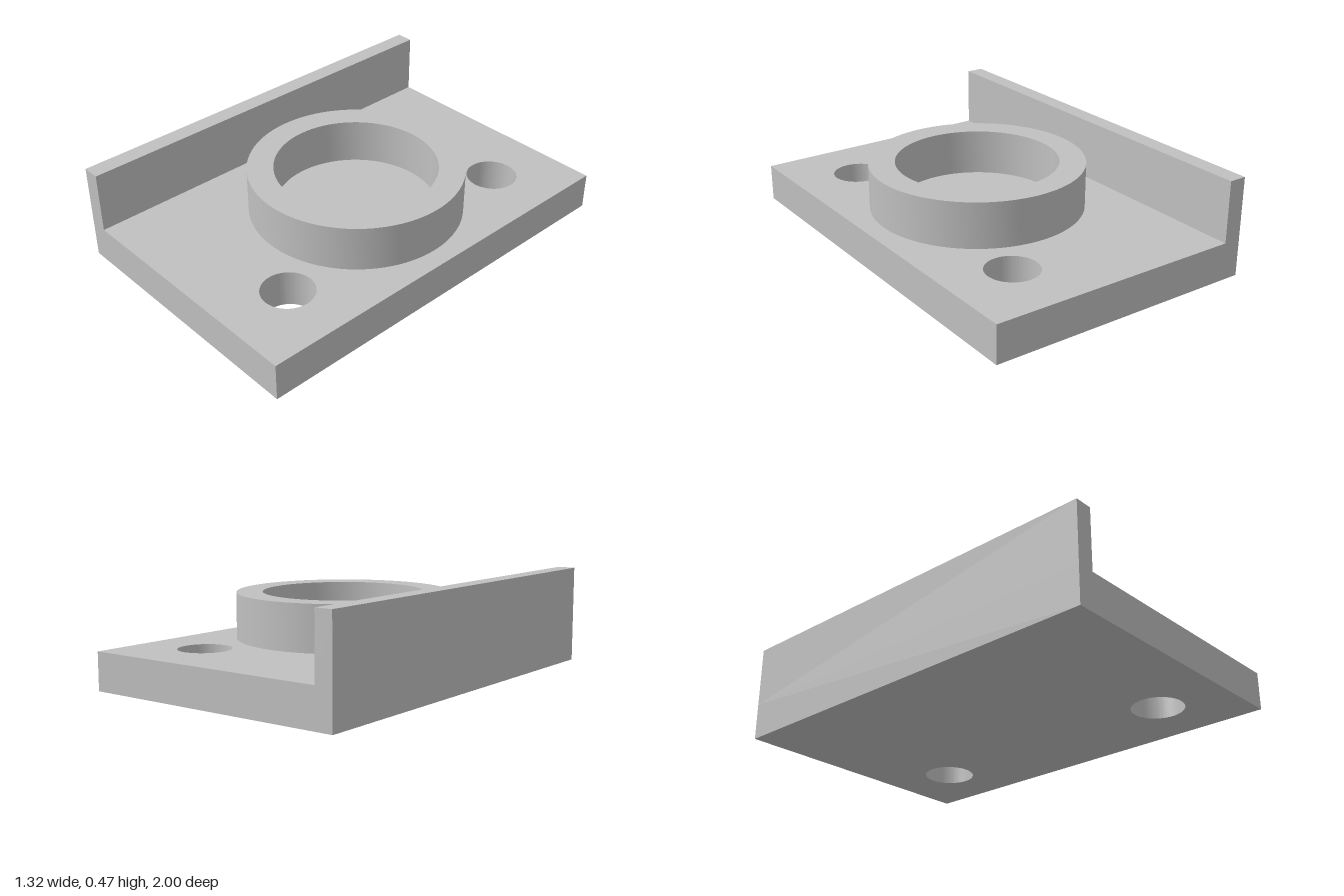
import * as THREE from 'three';
import { toCreasedNormals } from 'three/addons/utils/BufferGeometryUtils.js';

const BASE_TOP = 0.18, WALL_TOP = 0.475, RING_TOP = 0.4;
const HALF_X = 0.66, HALF_Z = 1;

function circle(PathType, x, y, radius) {
  return new PathType().absarc(x, y, radius, 0, Math.PI * 2, PathType === THREE.Path);
}

// Extrude a plan outline (x, -z) upwards from y0 to y1
function slab(shape, y0, y1) {
  const geometry = new THREE.ExtrudeGeometry(shape, {
    depth: y1 - y0, bevelEnabled: false, curveSegments: 64,
  });
  geometry.rotateX(-Math.PI / 2).translate(0, y0, 0);
  return toCreasedNormals(geometry, Math.PI / 6);
}

export function createModel() {
  const model = new THREE.Group();
  model.name = 'mountingBracket';
  const metal = new THREE.MeshStandardMaterial({ color: 0xc0c0c0 });
  metal.name = 'light grey';

  const add = (name, geometry) => {
    const mesh = new THREE.Mesh(geometry, metal);
    mesh.name = name;
    model.add(mesh);
    return mesh;
  };

  // Base plate with two through holes
  const plate = new THREE.Shape([
    new THREE.Vector2(-HALF_X, -HALF_Z), new THREE.Vector2(HALF_X, -HALF_Z),
    new THREE.Vector2(HALF_X, HALF_Z), new THREE.Vector2(-HALF_X, HALF_Z),
  ]);
  for (const side of [-1, 1]) plate.holes.push(circle(THREE.Path, 0.335, side * 0.66, 0.123));
  add('basePlate', slab(plate, 0, BASE_TOP));

  // Upright wall along one long edge
  const wallWidth = 0.085, wallHeight = WALL_TOP - BASE_TOP;
  add('sideWall', new THREE.BoxGeometry(wallWidth, wallHeight, HALF_Z * 2))
    .position.set(-HALF_X + wallWidth / 2, BASE_TOP + wallHeight / 2, 0);

  // Raised ring; the plate forms its floor
  const ring = circle(THREE.Shape, 0.057, 0, 0.51);
  ring.holes.push(circle(THREE.Path, 0.057, 0, 0.385));
  add('raisedRing', slab(ring, BASE_TOP, RING_TOP));

  return model;
}
